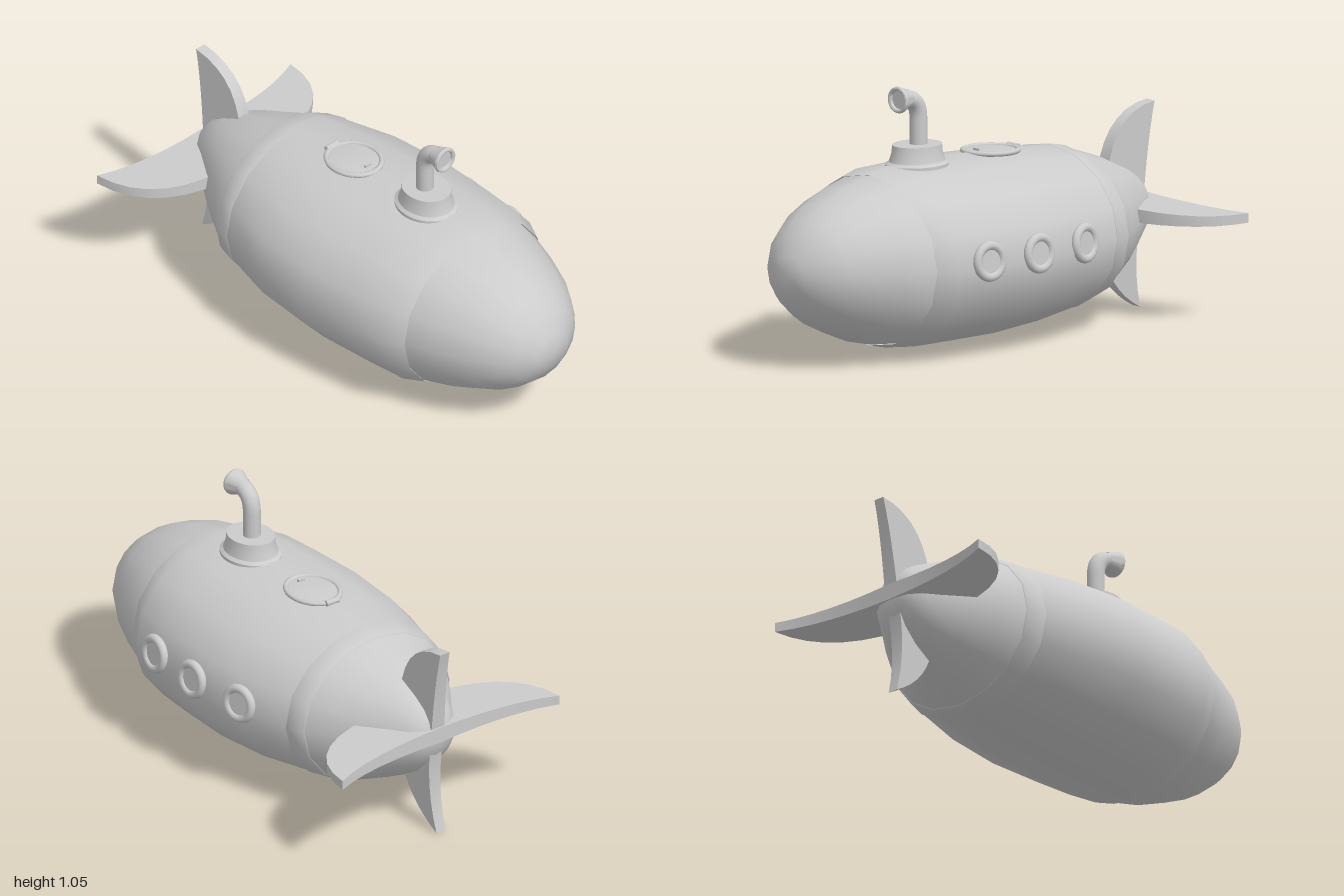
import * as THREE from 'three';
import { mergeVertices, toCreasedNormals } from 'three/addons/utils/BufferGeometryUtils.js';

const SIDES = 16;
const CX = -0.007;
const material = new THREE.MeshStandardMaterial({ color: 0xcccccc, side: THREE.DoubleSide });

function add(parent, name, geometry, x = 0, y = 0, z = 0) {
  const mesh = new THREE.Mesh(geometry, material);
  mesh.name = name;
  mesh.position.set(x, y, z);
  parent.add(mesh);
  return mesh;
}

// Skin elliptical sections [z, halfWidth, halfHeight, centreY], running front to back
function loft(sections) {
  const positions = [], index = [];
  for (const [z, a, b, cy] of sections) {
    for (let j = 0; j < SIDES; j++) {
      const t = (j / SIDES) * Math.PI * 2;
      positions.push(CX + a * Math.cos(t), cy + b * Math.sin(t), z);
    }
  }
  for (let i = 0; i < sections.length - 1; i++) {
    for (let j = 0; j < SIDES; j++) {
      const k = (j + 1) % SIDES;
      const p = i * SIDES + j, q = i * SIDES + k;
      index.push(p, p + SIDES, q, q, p + SIDES, q + SIDES);
    }
  }
  let g = new THREE.BufferGeometry();
  g.setAttribute('position', new THREE.Float32BufferAttribute(positions, 3));
  g.setIndex(index);
  g = mergeVertices(g);
  g.computeVertexNormals();
  return g;
}

const lathe = (points, segments = 32) => toCreasedNormals(
  new THREE.LatheGeometry(points.map(([r, y]) => new THREE.Vector2(r, y)), segments), 0.6);

// Swept-back blade from [radius, distance back] points, thinner towards the tip
function finGeometry(points) {
  const shape = new THREE.Shape();
  const [root, lead, tipFront, tipBack, inner, end] = points;
  shape.moveTo(...root);
  shape.lineTo(...lead);
  shape.quadraticCurveTo(...tipFront, ...tipBack);
  shape.quadraticCurveTo(...inner, ...end);
  const g = new THREE.ExtrudeGeometry(shape, { depth: 1, bevelEnabled: false, curveSegments: 6 });
  const pos = g.attributes.position;
  for (let i = 0; i < pos.count; i++) {
    const thickness = 0.065 - 0.03 * Math.min(1, pos.getX(i) / 0.6);
    pos.setZ(i, (pos.getZ(i) - 0.5) * thickness);
  }
  g.rotateX(-Math.PI / 2);
  return toCreasedNormals(g, 0.6);
}

export function createModel() {
  const model = new THREE.Group();
  model.name = 'submarine';

  // Hull in three overlapping shells
  add(model, 'nose', loft([
    [1, 0, 0, 0.39], [0.985, 0.085, 0.075, 0.39], [0.94, 0.168, 0.152, 0.395],
    [0.88, 0.225, 0.205, 0.395], [0.8, 0.277, 0.255, 0.395], [0.67, 0.333, 0.307, 0.394],
    [0.54, 0.378, 0.336, 0.393],
  ]));
  add(model, 'mainHull', loft([
    [0.55, 0.381, 0.338, 0.393], [0.465, 0.427, 0.357, 0.392], [0.3, 0.447, 0.358, 0.392],
    [0.05, 0.464, 0.358, 0.391], [-0.2, 0.443, 0.345, 0.393], [-0.44, 0.375, 0.322, 0.395],
  ]));
  add(model, 'tailCollar', loft([
    [-0.43, 0.366, 0.313, 0.395], [-0.43, 0.383, 0.327, 0.395], [-0.51, 0.36, 0.309, 0.396],
    [-0.51, 0.345, 0.295, 0.396],
  ]));
  add(model, 'tail', loft([
    [-0.505, 0.356, 0.305, 0.396], [-0.6, 0.296, 0.269, 0.4], [-0.7, 0.232, 0.228, 0.406],
    [-0.8, 0.158, 0.175, 0.413], [-0.86, 0.12, 0.127, 0.423], [-0.895, 0.078, 0.075, 0.43],
    [-0.915, 0, 0, 0.435],
  ]));

  // Four tail fins around the tail axis
  const sideFin = [[0, 0.66], [0.25, 0.68], [0.52, 0.74], [0.533, 0.99], [0.34, 0.905], [0, 0.915]];
  const topFin = [[0, 0.7], [0.18, 0.72], [0.37, 0.77], [0.385, 0.965], [0.25, 0.93], [0, 0.905]];
  const bottomFin = [[0, 0.7], [0.24, 0.72], [0.36, 0.77], [0.43, 0.91], [0.24, 0.85], [0, 0.905]];
  const fins = new THREE.Group();
  fins.name = 'tailFins';
  fins.position.set(-0.005, 0.44, 0);
  fins.rotation.z = -0.028;
  model.add(fins);
  [['leftFin', sideFin], ['topFin', topFin], ['rightFin', sideFin], ['bottomFin', bottomFin]]
    .forEach(([name, points], i) => {
      add(fins, name, finGeometry(points)).rotation.z = i * Math.PI / 2;
    });

  // Portholes along the left side only
  for (const [z, x, yaw] of [[0.325, 0.436, -0.07], [0.07, 0.45, 0.02], [-0.2, 0.427, 0.19]]) {
    const porthole = new THREE.Group();
    porthole.name = 'porthole';
    porthole.position.set(x, 0.42, z);
    porthole.rotation.set(0, Math.PI / 2 + yaw, 0);
    porthole.rotateX(-0.08);
    add(porthole, 'portholeRim', new THREE.TorusGeometry(0.062, 0.018, 12, 32));
    add(porthole, 'portholeGlass', new THREE.CylinderGeometry(0.055, 0.055, 0.02, 32)
      .rotateX(Math.PI / 2), 0, 0, -0.002);
    model.add(porthole);
  }

  // Periscope with flared base, elbow and mouth
  const periscope = new THREE.Group();
  periscope.name = 'periscope';
  periscope.position.set(CX, 0, 0.29);
  model.add(periscope);
  add(periscope, 'periscopeBase', lathe([
    [0.113, 0.725], [0.113, 0.745], [0.1, 0.755], [0.091, 0.785], [0.088, 0.82], [0, 0.82],
  ])).scale.z = 1.2;
  const path = new THREE.CurvePath();
  const v = (y, z) => new THREE.Vector3(0, y, z);
  path.add(new THREE.LineCurve3(v(0.8, -0.007), v(0.92, -0.007)));
  path.add(new THREE.QuadraticBezierCurve3(v(0.92, -0.007), v(1.005, -0.007), v(1.007, 0.07)));
  add(periscope, 'periscopeTube', new THREE.TubeGeometry(path, 24, 0.035, 20));
  add(periscope, 'periscopeMouth', lathe([
    [0.034, 0.045], [0.04, 0.065], [0.048, 0.088], [0.053, 0.1], [0.051, 0.109],
    [0.045, 0.111], [0.038, 0.108], [0.036, 0.098], [0, 0.098],
  ]).rotateX(Math.PI / 2), 0, 1.007, 0);

  // Deck hatch with rim, lid, hinge and latch
  const hatch = new THREE.Group();
  hatch.name = 'hatch';
  hatch.position.set(-0.006, 0.742, -0.108);
  hatch.rotation.x = -0.03;
  model.add(hatch);
  add(hatch, 'hatchRim', new THREE.TorusGeometry(0.1, 0.01, 10, 40).rotateX(Math.PI / 2)).scale.z = 1.16;
  add(hatch, 'hatchLid', lathe([[0.095, -0.02], [0.092, 0.002], [0.06, 0.006], [0, 0.007]])).scale.z = 1.16;
  add(hatch, 'hatchHinge', new THREE.CylinderGeometry(0.012, 0.012, 0.06, 12)
    .rotateZ(Math.PI / 2), 0, 0.003, -0.122);
  add(hatch, 'hatchLatch', new THREE.BoxGeometry(0.03, 0.012, 0.012), 0, 0.008, 0.075);

  return model;
}
